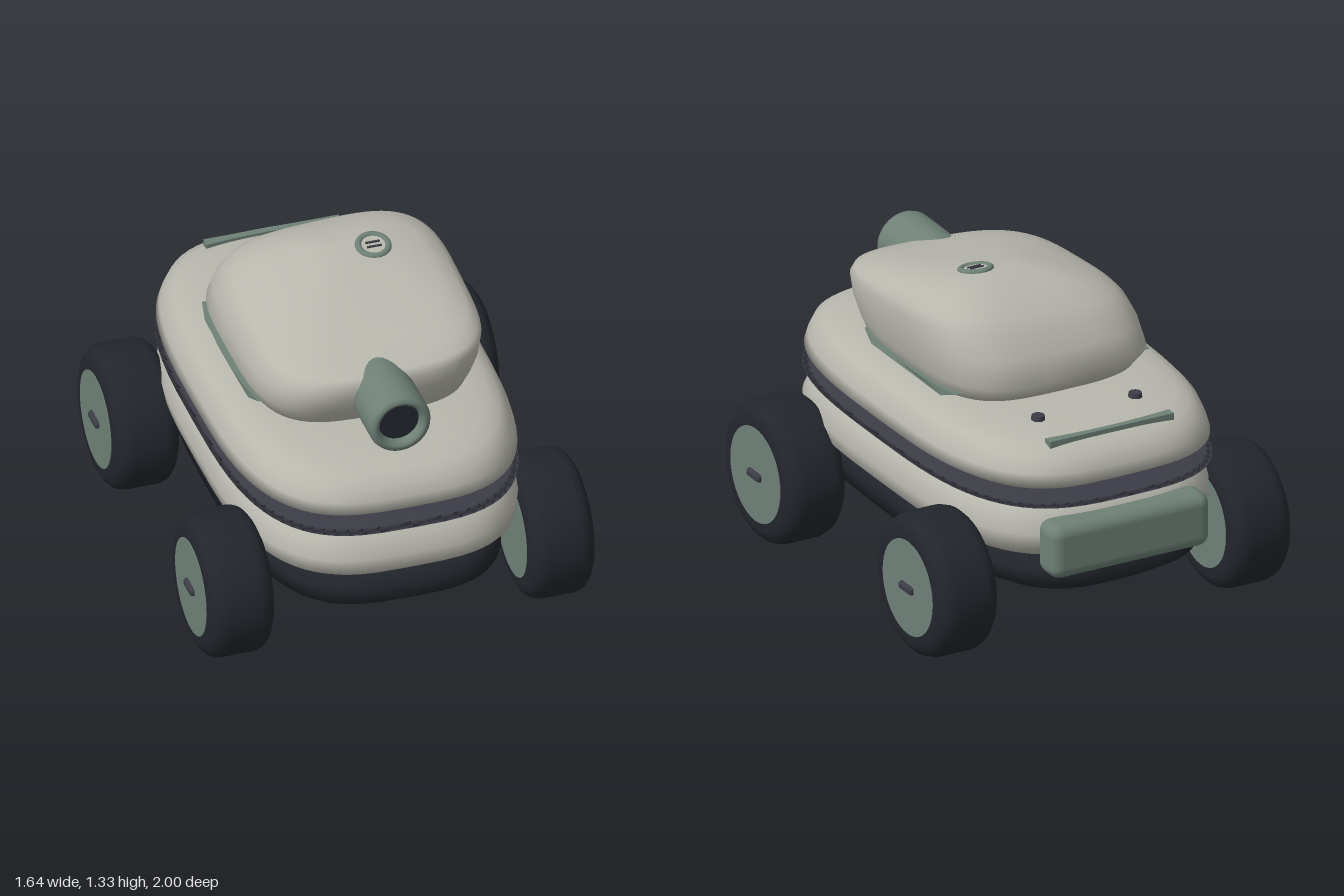
import * as THREE from 'three';
import { RoundedBoxGeometry } from 'three/addons/geometries/RoundedBoxGeometry.js';

const mat = (color) => new THREE.MeshStandardMaterial({ color });

// Skin over superellipse rings: [y, xMin, xMax, zMin, zMax, rise front to back, rise right to left]
function loft(rings, n, seg = 72) {
  const pos = [], idx = [];
  const pow = (v) => Math.sign(v) * Math.abs(v) ** (2 / n);
  for (const [y, x0, x1, z0, z1, riseZ = 0, riseX = 0] of rings) {
    for (let i = 0; i < seg; i++) {
      const a = (i / seg) * Math.PI * 2;
      const u = pow(Math.cos(a)), v = pow(Math.sin(a));
      pos.push((x0 + x1) / 2 + (u * (x1 - x0)) / 2, y - (v * riseZ) / 2 + (u * riseX) / 2,
        (z0 + z1) / 2 + (v * (z1 - z0)) / 2);
    }
  }
  const centre = ([y, x0, x1, z0, z1]) => pos.push((x0 + x1) / 2, y, (z0 + z1) / 2);
  centre(rings[0]);
  centre(rings[rings.length - 1]);
  const bottom = rings.length * seg, last = bottom - seg;
  for (let i = 0; i < seg; i++) {
    const j = (i + 1) % seg;
    for (let k = 0; k < last; k += seg) {
      const a = k + i, b = k + j;
      idx.push(a, a + seg, b, b, a + seg, b + seg);
    }
    idx.push(bottom, i, j, bottom + 1, last + j, last + i);
  }
  const g = new THREE.BufferGeometry();
  g.setAttribute('position', new THREE.Float32BufferAttribute(pos, 3));
  g.setIndex(idx);
  g.computeVertexNormals();
  return g;
}

// Symmetric hull rings: [y, half width, zMin, zMax]
const hull = (rings) => loft(rings.map(([y, w, z0, z1]) => [y, -w, w, z0, z1]), 3.2);

export function createModel() {
  const model = new THREE.Group();
  const shell = mat(0xb8b7ae), sage = mat(0x6e8076), rubber = mat(0x22262c), seam = mat(0x3c3c46);
  const add = (name, geometry, material, x = 0, y = 0, z = 0, parent = model) => {
    const m = new THREE.Mesh(geometry, material);
    m.name = name;
    m.position.set(x, y, z);
    parent.add(m);
    return m;
  };

  // Body layers
  add('undercarriage', hull([
    [0.24, 0.38, -0.8, 0.82], [0.24, 0.43, -0.84, 0.86], [0.3, 0.53, -0.935, 0.96],
    [0.36, 0.535, -0.92, 0.945], [0.42, 0.53, -0.89, 0.92],
  ]), rubber);
  add('lowerHull', hull([
    [0.41, 0.46, -0.83, 0.86], [0.415, 0.53, -0.88, 0.92], [0.47, 0.59, -0.94, 0.995], [0.53, 0.6, -0.935, 0.99],
    [0.6, 0.58, -0.91, 0.955], [0.635, 0.55, -0.87, 0.9], [0.65, 0.52, -0.82, 0.84],
  ]), shell);
  add('seamBand', hull([
    [0.645, 0.5, -0.82, 0.84], [0.65, 0.54, -0.88, 0.9], [0.659, 0.6, -0.97, 1.0],
    [0.668, 0.58, -0.94, 0.965], [0.678, 0.5, -0.82, 0.84],
  ]), seam);
  add('upperHull', hull([
    [0.672, 0.48, -0.78, 0.8], [0.69, 0.52, -0.85, 0.88], [0.745, 0.6, -0.95, 0.98], [0.79, 0.588, -0.935, 0.967],
    [0.84, 0.567, -0.915, 0.945], [0.872, 0.54, -0.86, 0.895], [0.892, 0.5, -0.79, 0.82],
    [0.905, 0.43, -0.67, 0.7], [0.912, 0.3, -0.45, 0.5],
  ]), shell);

  // Lopsided turret with a sloping roof
  add('turret', loft([
    [0.9, -0.4, 0.41, -0.43, 0.54], [0.92, -0.435, 0.445, -0.46, 0.57],
    [0.99, -0.465, 0.47, -0.52, 0.61], [1.075, -0.452, 0.485, -0.475, 0.635, 0.04, 0.01],
    [1.15, -0.425, 0.49, -0.42, 0.642, 0.06, 0.03], [1.185, -0.395, 0.475, -0.37, 0.62, 0.075, 0.04],
    [1.218, -0.34, 0.44, -0.3, 0.56, 0.1, 0.045], [1.25, -0.25, 0.37, -0.22, 0.45, 0.09, 0.04],
    [1.288, -0.11, 0.24, -0.13, 0.2, 0.06, 0.015], [1.297, -0.02, 0.14, -0.06, 0.1, 0.03, 0.005],
  ], 3.5), shell);

  // Barrel along z with a rounded muzzle and a dark bore
  const barrelProfile = [[0.12, 0.4], [0.125, 0.55], [0.128, 0.7], [0.128, 0.825], [0.122, 0.842],
    [0.108, 0.85], [0.098, 0.848], [0.088, 0.838], [0.084, 0.82], [0.084, 0.78]];
  const barrelGeo = new THREE.LatheGeometry(barrelProfile.map(([r, z]) => new THREE.Vector2(r, z)), 40);
  barrelGeo.rotateX(Math.PI / 2);
  const tubeMaterial = mat(0x6e8076);
  tubeMaterial.side = THREE.DoubleSide;
  add('barrel', barrelGeo, tubeMaterial, 0, 1.048, 0);
  add('bore', new THREE.CircleGeometry(0.086, 40), rubber, 0, 1.048, 0.81);

  // Roof hatch lying on the slope
  const hatch = new THREE.Group();
  hatch.name = 'hatch';
  hatch.position.set(0.165, 1.305, -0.025);
  hatch.rotation.x = 0.2;
  model.add(hatch);
  add('hatchRim', new THREE.TorusGeometry(0.06, 0.014, 10, 36).rotateX(Math.PI / 2), sage, 0, 0, 0, hatch);
  add('hatchLid', new THREE.CylinderGeometry(0.052, 0.052, 0.03, 32), shell, 0, -0.009, 0, hatch);
  for (const z of [-0.012, 0.012])
    add('hatchSlot', new THREE.BoxGeometry(0.06, 0.008, 0.008), seam, 0, 0.007, z, hatch);

  // Tapered strips along the turret foot, bowed with its sides
  const strip = new THREE.Shape();
  strip.moveTo(-0.35, 0.95);
  strip.lineTo(-0.26, 0.915);
  strip.lineTo(0.3, 0.915);
  strip.lineTo(0.38, 0.95);
  for (let i = 1; i < 12; i++) strip.lineTo(0.38 - (0.73 * i) / 12, 0.948);
  const stripGeo = new THREE.ExtrudeGeometry(strip, { depth: 0.05, bevelEnabled: false });
  stripGeo.rotateY(-Math.PI / 2);
  const sp = stripGeo.attributes.position;
  for (let i = 0; i < sp.count; i++) sp.setX(i, sp.getX(i) + 0.025 - 0.25 * (sp.getZ(i) - 0.015) ** 2);
  stripGeo.computeVertexNormals();
  for (const s of [-1, 1]) {
    const m = add('turretStrip', stripGeo, sage, s * 0.45);
    if (s < 0) {
      m.rotation.y = Math.PI;
      m.position.z = 0.03;
    }
  }

  // Rear deck fittings and bumper
  const vent = new THREE.Shape();
  vent.moveTo(-0.28, 0.83);
  vent.lineTo(0.28, 0.83);
  vent.lineTo(0.28, 0.788);
  vent.quadraticCurveTo(0, 0.82, -0.28, 0.788);
  const ventGeo = new THREE.ExtrudeGeometry(vent, { depth: 0.035, bevelEnabled: false });
  ventGeo.rotateX(-Math.PI / 2);
  add('rearVent', ventGeo, sage, 0, 0.865, 0);
  for (const s of [-1, 1])
    add('deckStud', new THREE.CylinderGeometry(0.026, 0.03, 0.03, 20), seam, s * 0.22, 0.908, -0.625);
  add('rearBumper', new RoundedBoxGeometry(0.72, 0.23, 0.15, 4, 0.05), sage, 0, 0.485, -0.925);

  // Wheels with hubs on both faces and an axle pin outside
  const tyreProfile = [[0.19, -0.133], [0.235, -0.135], [0.265, -0.12], [0.285, -0.1], [0.295, -0.07], [0.295, 0],
    [0.295, 0.07], [0.285, 0.1], [0.265, 0.12], [0.235, 0.135], [0.19, 0.133]];
  const tyreGeo = new THREE.LatheGeometry(tyreProfile.map(([r, x]) => new THREE.Vector2(r, x)), 48);
  tyreGeo.rotateZ(-Math.PI / 2);
  const hubGeo = new THREE.CylinderGeometry(0.2, 0.2, 0.272, 40).rotateZ(Math.PI / 2);
  const pinGeo = new RoundedBoxGeometry(0.04, 0.034, 0.1, 3, 0.012);
  for (const s of [-1, 1]) {
    for (const [end, z] of [['front', 0.62], ['rear', -0.605]]) {
      const wheel = new THREE.Group();
      wheel.name = end + 'Wheel';
      wheel.position.set(s * 0.665, 0.295, z);
      model.add(wheel);
      add('tyre', tyreGeo, rubber, 0, 0, 0, wheel);
      add('hub', hubGeo, sage, 0, 0, 0, wheel);
      add('axlePin', pinGeo, seam, s * 0.133, 0, 0, wheel);
    }
  }
  return model;
}
